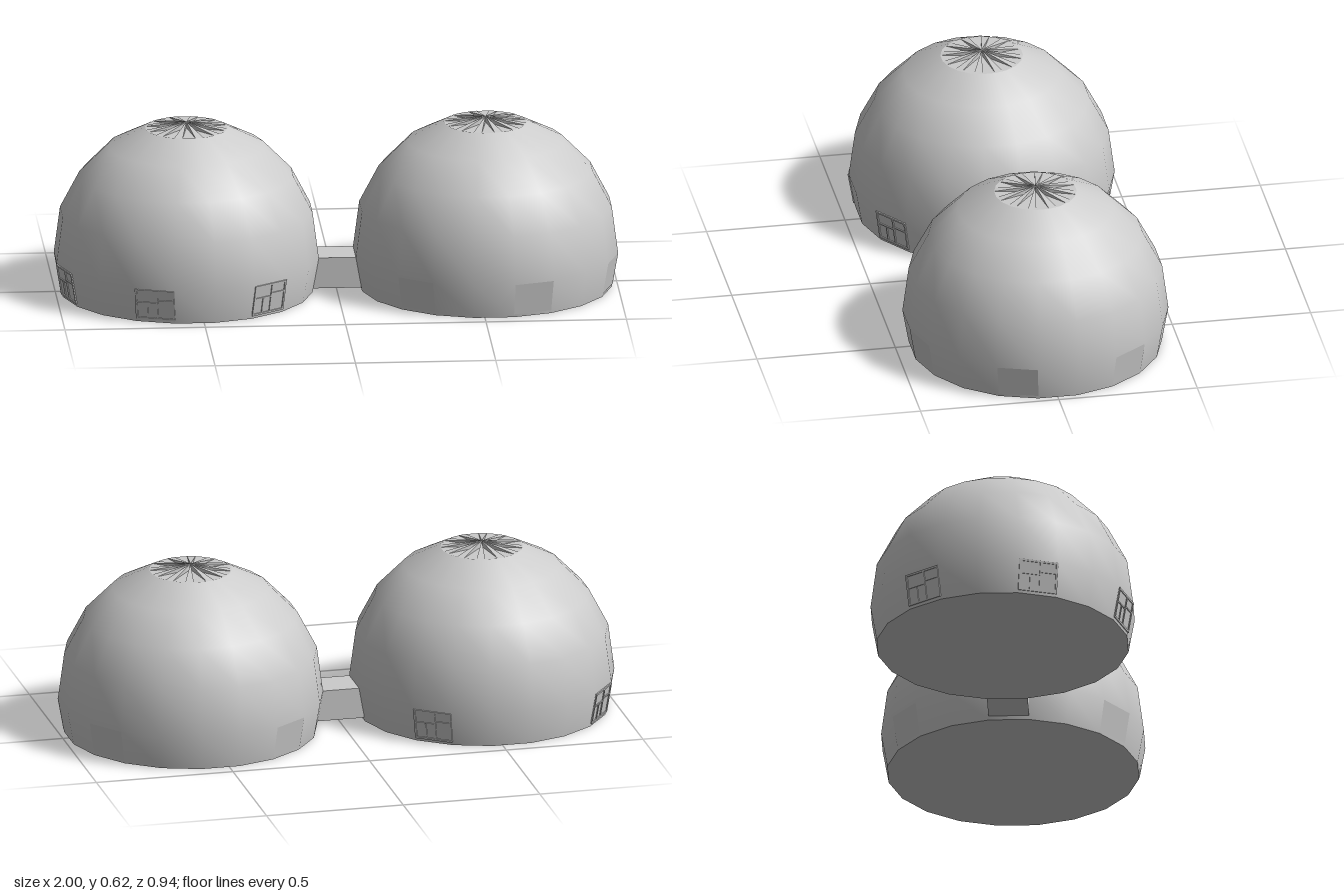
import * as THREE from 'three';

const mat = new THREE.MeshStandardMaterial({ color: 0xcccccc });
const thin = new THREE.MeshStandardMaterial({ color: 0xcccccc, side: THREE.DoubleSide, flatShading: true });
const SIDES = 20;
const HALF = Math.PI / SIDES;
const rad = THREE.MathUtils.degToRad;

function add(parent, name, geometry, material = mat) {
  const mesh = new THREE.Mesh(geometry, material);
  mesh.name = name;
  parent.add(mesh);
  return mesh;
}

// Wedge-shaped fins between the radial vent slots
function finGeometry() {
  const pts = [];
  const top = [0, 0.618, 0], base = [0, 0.596, 0];
  const rim = (deg, y) => [0.146 * Math.sin(rad(deg)), y, 0.146 * Math.cos(rad(deg))];
  for (let i = 0; i < 12; i++) {
    const a = rim(i * 30 + 9, 0.597), b = rim(i * 30 + 21, 0.597);
    pts.push(...top, ...a, ...b, ...top, ...base, ...a, ...top, ...b, ...base);
  }
  const g = new THREE.BufferGeometry();
  g.setAttribute('position', new THREE.Float32BufferAttribute(pts, 3));
  g.computeVertexNormals();
  return g;
}

// Window filling one lower facet; the framed kind has bars and panes
function makeWindow(angle, framed) {
  const turn = new THREE.Group();
  turn.name = 'window';
  turn.rotation.y = rad(angle);
  const face = new THREE.Group();
  face.position.set(0, 0.0625, 0.456);
  face.rotation.x = Math.atan2(0.022, 0.125);
  turn.add(face);
  const shape = new THREE.Shape([
    new THREE.Vector2(-0.071, -0.052), new THREE.Vector2(0.071, -0.052),
    new THREE.Vector2(0.073, 0.063), new THREE.Vector2(-0.073, 0.063)]);
  add(face, 'windowPane', new THREE.ShapeGeometry(shape), thin).position.z = 0.001;
  if (framed) {
    // [x, y, width, height]
    const bars = [
      [0, 0.059, 0.144, 0.007], [0, -0.049, 0.142, 0.007],
      [-0.068, 0.005, 0.007, 0.108], [0.068, 0.005, 0.007, 0.108],
      [0.008, 0.005, 0.006, 0.108], [-0.03, 0.012, 0.07, 0.005],
      [0.038, 0.022, 0.056, 0.005], [-0.028, -0.022, 0.005, 0.06]];
    for (const [x, y, w, h] of bars)
      add(face, 'windowBar', new THREE.BoxGeometry(w, h, 0.005)).position.set(x, y, 0.002);
  }
  return turn;
}

function makeDome(side) {
  const dome = new THREE.Group();
  dome.name = side > 0 ? 'leftDome' : 'rightDome';
  dome.position.x = side * 0.533;

  // Shell, with the facets facing the axes
  const k = 1 / Math.cos(HALF);
  const profile = [[0.445, 0], [0.467, 0.126], [0.445, 0.294], [0.377, 0.426], [0.276, 0.53], [0.145, 0.597]]
    .map(([r, y]) => new THREE.Vector2(r * k, y));
  add(dome, 'shell', new THREE.LatheGeometry(profile, SIDES, HALF));
  add(dome, 'base', new THREE.CircleGeometry(0.445 * k, SIDES, HALF).rotateX(Math.PI / 2));

  // Roof vent
  add(dome, 'ventFloor', new THREE.CircleGeometry(0.146 * k, SIDES, HALF).rotateX(-Math.PI / 2)).position.y = 0.596;
  add(dome, 'ventFins', finGeometry(), thin);

  // Windows around the foot, mirrored between the domes
  for (const angle of [18, 72, 126, 216, 324]) dome.add(makeWindow(side * angle, side < 0));
  return dome;
}

export function createModel() {
  const model = new THREE.Group();
  model.name = 'twinDomes';
  for (const side of [1, -1]) model.add(makeDome(side));

  // Passage joining the domes
  add(model, 'passage', new THREE.BoxGeometry(0.17, 0.112, 0.145)).position.y = 0.07;
  return model;
}
